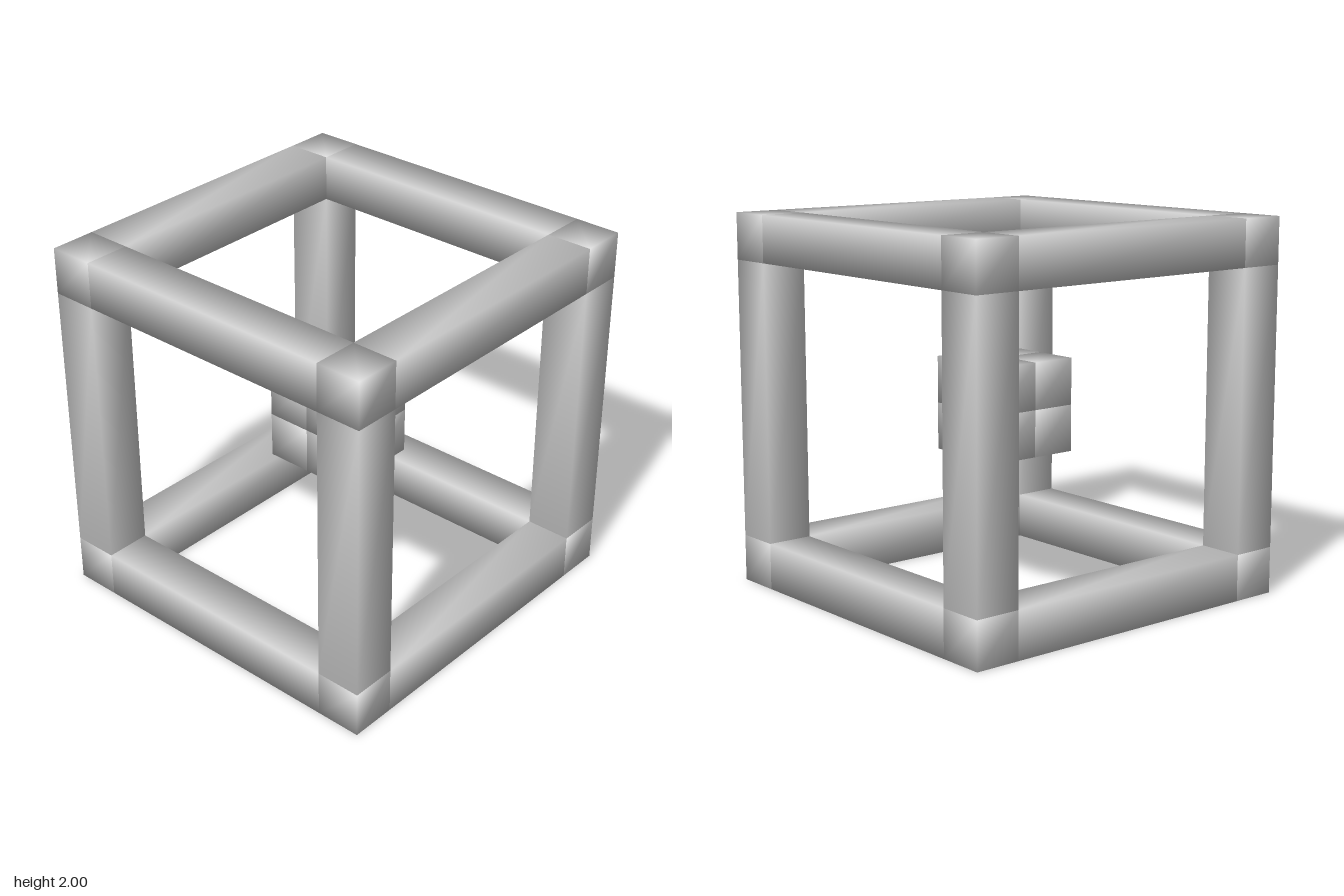
import * as THREE from 'three';
import { mergeVertices } from 'three/addons/utils/BufferGeometryUtils.js';

const T = 0.25;          // bar thickness and small cube size
const R = 1 - T / 2;     // distance of bar centres from the middle
const L = 2 - 2 * T;     // bar length between corner blocks

// Box whose eight corners are shared, so shading runs smoothly over its edges
function softBox(w, h, d) {
  const geometry = new THREE.BoxGeometry(w, h, d);
  geometry.deleteAttribute('uv');
  geometry.deleteAttribute('normal');
  const merged = mergeVertices(geometry);
  merged.computeVertexNormals();
  return merged;
}

export function createModel() {
  const model = new THREE.Group();
  model.name = 'cubeFrame';
  const material = new THREE.MeshStandardMaterial({ color: 0xcccccc });
  const cube = softBox(T, T, T);
  const signs = [-1, 1];

  function add(parent, name, geometry, x, y, z) {
    const mesh = new THREE.Mesh(geometry, material);
    mesh.name = name;
    mesh.position.set(x, y + 1, z);
    parent.add(mesh);
  }
  function addGroup(name) {
    const group = new THREE.Group();
    group.name = name;
    model.add(group);
    return group;
  }

  const corners = addGroup('cornerBlocks');
  const core = addGroup('centreCubes');
  const bars = addGroup('frameBars');

  // Eight corner blocks and the 2 x 2 x 2 cluster in the middle
  for (const x of signs) for (const y of signs) for (const z of signs) {
    add(corners, 'cornerBlock', cube, x * R, y * R, z * R);
    add(core, 'centreCube', cube, x * T / 2, y * T / 2, z * T / 2);
  }

  // Four bars along each axis, between the corner blocks
  const barX = softBox(L, T, T), barY = softBox(T, L, T), barZ = softBox(T, T, L);
  for (const a of signs) for (const b of signs) {
    add(bars, 'crossBar', barX, 0, a * R, b * R);
    add(bars, 'uprightBar', barY, a * R, 0, b * R);
    add(bars, 'sideBar', barZ, a * R, b * R, 0);
  }
  return model;
}
